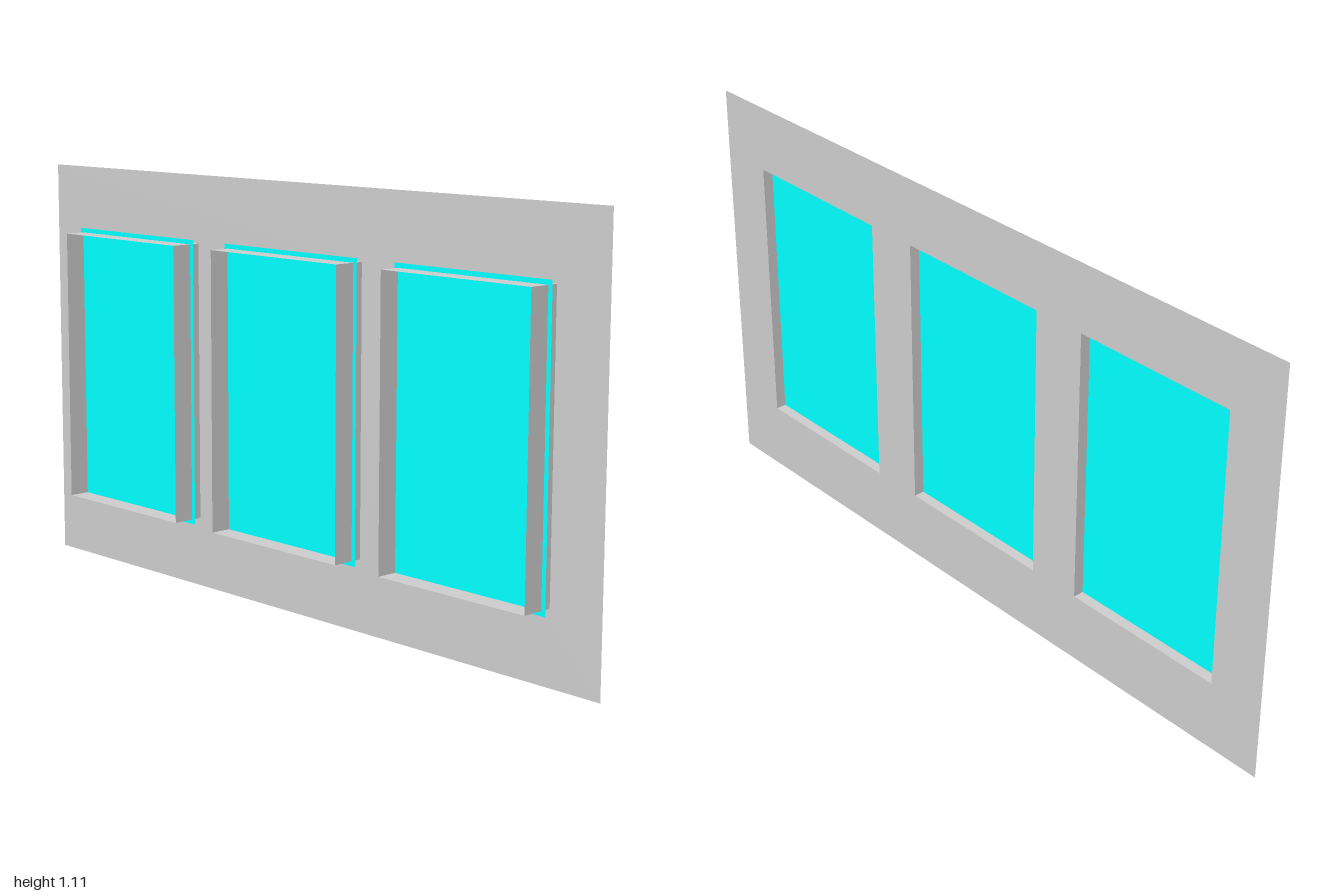
import * as THREE from 'three';

const LENGTH = 2, HEIGHT = 1.11;            // wall panel
const WIN_W = 0.464, WIN_H = 0.742, WIN_Y = 0.558;
const WIN_Z = [-0.615, 0, 0.615];           // window centres
const HALF_DEPTH = 0.043, GLASS_X = 0.014, GLASS_LIP = 0.012;

const grey = new THREE.MeshStandardMaterial({ color: 0xcccccc, side: THREE.DoubleSide });
const cyan = new THREE.MeshStandardMaterial({ color: 0x00ffff, side: THREE.DoubleSide });

function rectangle(PathType, cx, cy, w, h) {
  const path = new PathType();
  path.moveTo(cx - w / 2, cy - h / 2);
  path.lineTo(cx + w / 2, cy - h / 2);
  path.lineTo(cx + w / 2, cy + h / 2);
  path.lineTo(cx - w / 2, cy + h / 2);
  path.closePath();
  return path;
}

function addMesh(parent, name, geometry, material, x, y, z) {
  const mesh = new THREE.Mesh(geometry, material);
  mesh.name = name;
  mesh.position.set(x, y, z);
  parent.add(mesh);
}

// One window: four thin reveal boards and a pane set between them
function createWindow(z) {
  const win = new THREE.Group();
  win.name = 'window';
  win.position.set(0, WIN_Y, z);
  const depth = HALF_DEPTH * 2;
  const sideBoard = new THREE.PlaneGeometry(depth, WIN_H);
  const flatBoard = new THREE.PlaneGeometry(depth, WIN_W).rotateX(-Math.PI / 2);
  for (const s of [-1, 1]) {
    addMesh(win, s > 0 ? 'frontJamb' : 'backJamb', sideBoard, grey, 0, 0, s * WIN_W / 2);
    addMesh(win, s > 0 ? 'lintel' : 'sill', flatBoard, grey, 0, s * WIN_H / 2, 0);
  }
  // The pane reaches slightly beyond the boards
  const pane = new THREE.PlaneGeometry(WIN_W + 2 * GLASS_LIP, WIN_H + 2 * GLASS_LIP).rotateY(Math.PI / 2);
  addMesh(win, 'glassPane', pane, cyan, GLASS_X, 0, 0);
  return win;
}

export function createModel() {
  const model = new THREE.Group();
  model.name = 'windowWall';

  // Thin wall sheet with three openings
  const wall = rectangle(THREE.Shape, 0, HEIGHT / 2, LENGTH, HEIGHT);
  for (const z of WIN_Z) wall.holes.push(rectangle(THREE.Path, -z, WIN_Y, WIN_W, WIN_H));
  addMesh(model, 'wallPanel', new THREE.ShapeGeometry(wall).rotateY(Math.PI / 2), grey, HALF_DEPTH, 0, 0);

  for (const z of WIN_Z) model.add(createWindow(z));
  return model;
}
